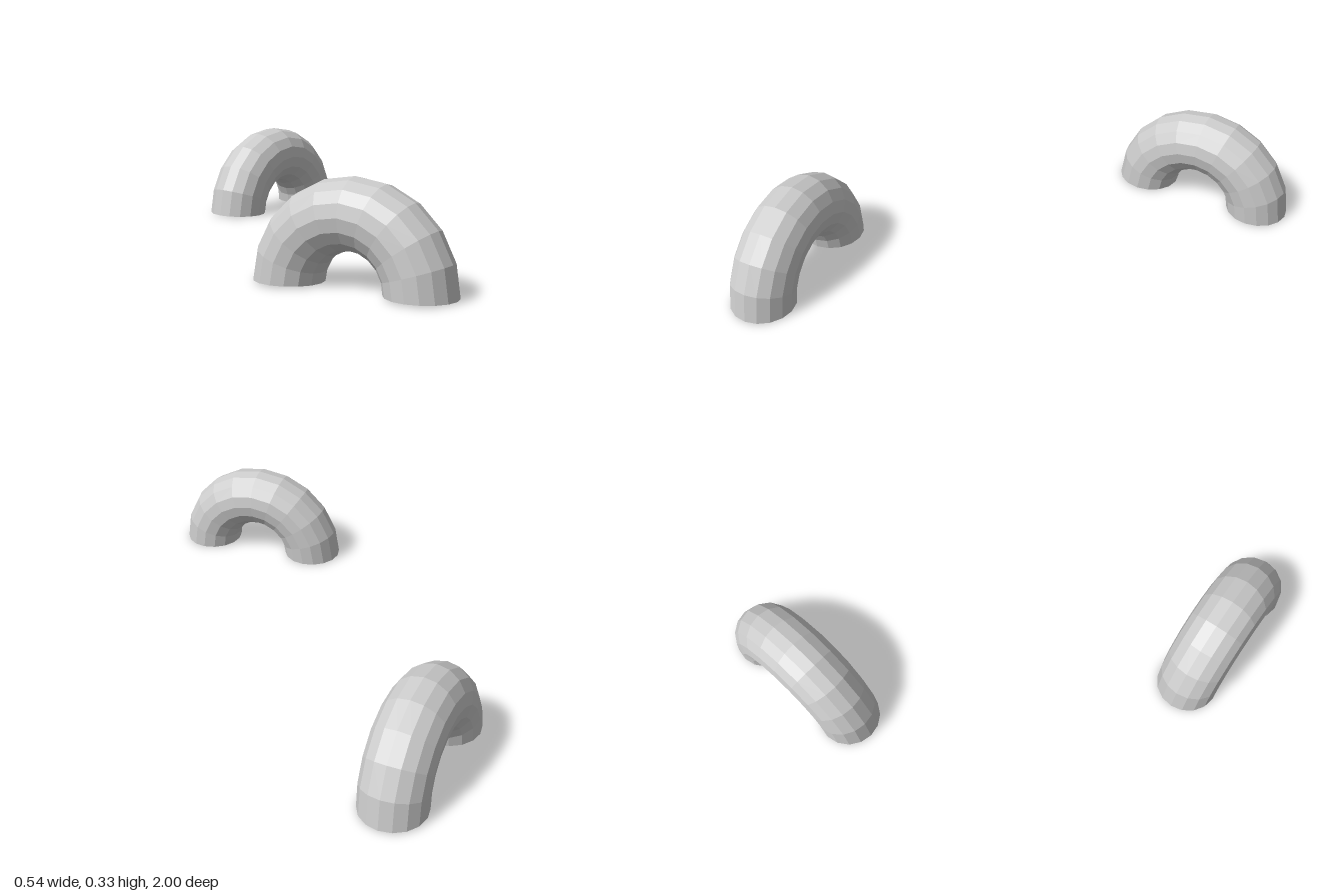
import * as THREE from 'three';

const RING = 0.2145, TUBE = 0.108, SIDES = 16, STEPS = 10;
const YAW = 0.723, LEAN = 0.028;

export function createModel() {
  const model = new THREE.Group();
  const material = new THREE.MeshStandardMaterial({ color: 0xcccccc, flatShading: true });
  const tube = new THREE.TorusGeometry(RING, TUBE, SIDES, STEPS, Math.PI);
  // end disc facing down, its corners matching the tube's sides
  const disc = new THREE.CircleGeometry(TUBE, SIDES).rotateX(Math.PI / 2);

  // two half-ring arches, mirrored front to back and leaning slightly
  for (const side of [1, -1]) {
    const arch = new THREE.Group();
    arch.name = side > 0 ? 'frontArch' : 'backArch';

    const body = new THREE.Mesh(tube, material);
    body.name = 'archTube';
    arch.add(body);

    for (const end of [1, -1]) {
      const cap = new THREE.Mesh(disc, material);
      cap.name = end > 0 ? 'leftFoot' : 'rightFoot';
      cap.position.x = end * RING;
      arch.add(cap);
    }

    arch.rotation.order = 'YXZ';
    arch.rotation.set(-side * LEAN, -side * YAW, 0);
    arch.position.set(0, TUBE * Math.sin(LEAN), side * 0.749);
    model.add(arch);
  }
  return model;
}
